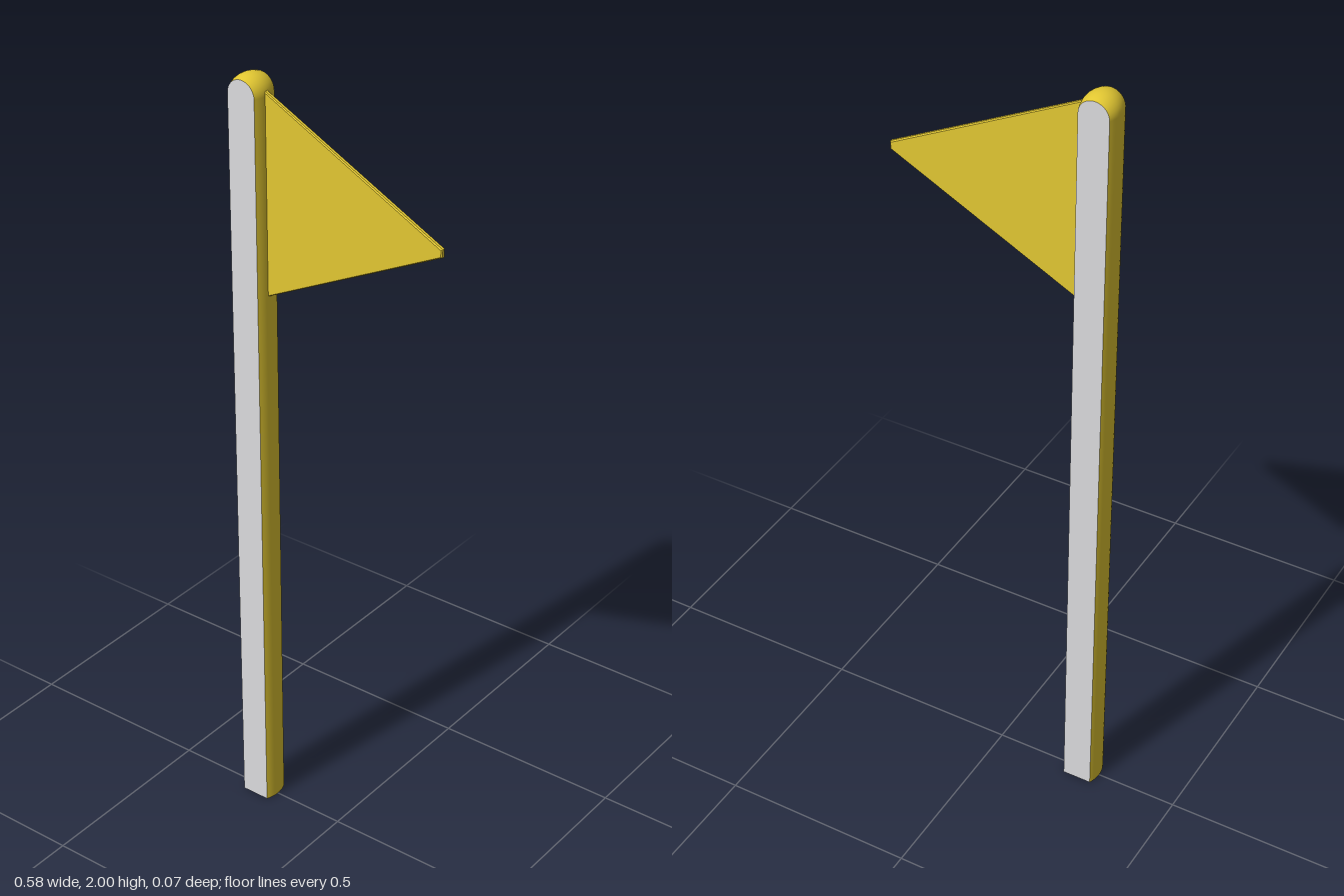
import * as THREE from 'three';

const POLE_X = -0.242, HALF_DEPTH = 0.036, SHOULDER = 1.954;
const EDGE_W = 0.038, MID_W = 0.046; // half-widths at the flat faces and at the middle
const ARC = 16;

const yellow = new THREE.MeshStandardMaterial({ color: 0xe3c832, side: THREE.DoubleSide });
yellow.name = 'yellow';
const grey = new THREE.MeshStandardMaterial({ color: 0xdcdcde, side: THREE.DoubleSide });
grey.name = 'light grey';

function add(group, name, geometry, material) {
  const mesh = new THREE.Mesh(geometry, material);
  mesh.name = name;
  group.add(mesh);
  return mesh;
}

// Bulging strip that runs up one side, over the round top and down the other
function poleBand() {
  const rows = ARC + 2, cols = 12;
  const geo = new THREE.PlaneGeometry(1, 1, cols, rows);
  const pos = geo.attributes.position;
  for (let i = 0; i < pos.count; i++) {
    const t = pos.getX(i) * 2;
    const row = Math.round((pos.getY(i) + 0.5) * rows);
    const w = EDGE_W + (MID_W - EDGE_W) * (1 - t * t);
    const a = Math.PI * (1 - THREE.MathUtils.clamp((row - 1) / ARC, 0, 1));
    const y = row === 0 || row === rows ? 0 : SHOULDER + w * Math.sin(a);
    pos.setXYZ(i, w * Math.cos(a), y, t * HALF_DEPTH);
  }
  geo.computeVertexNormals();
  return geo;
}

// Flat round-topped face of the pole
function poleFace() {
  const s = new THREE.Shape();
  s.moveTo(-EDGE_W, 0);
  s.lineTo(EDGE_W, 0);
  s.lineTo(EDGE_W, SHOULDER);
  s.absarc(0, SHOULDER, EDGE_W, 0, Math.PI, false);
  s.closePath();
  return new THREE.ShapeGeometry(s, ARC);
}

// Blunt-tipped pennant with a fine bevel
function pennant() {
  const s = new THREE.Shape([
    [-0.2, 1.457], [0.288, 1.7], [0.288, 1.72], [-0.2, 1.967],
  ].map(([x, y]) => new THREE.Vector2(x, y)));
  const geo = new THREE.ExtrudeGeometry(s, {
    depth: 0.007, bevelEnabled: true, bevelThickness: 0.003,
    bevelSize: 0.003, bevelOffset: -0.003, bevelSegments: 1,
  });
  return geo.translate(0, 0, -0.0035);
}

export function createModel() {
  const model = new THREE.Group();
  model.name = 'pennantOnPole';

  // Pole, open at the bottom
  const pole = new THREE.Group();
  pole.name = 'pole';
  pole.position.x = POLE_X;
  add(pole, 'poleSidesAndTop', poleBand(), yellow);
  add(pole, 'poleFrontFace', poleFace(), grey).position.z = HALF_DEPTH;
  const back = add(pole, 'poleBackFace', poleFace(), grey);
  back.position.z = -HALF_DEPTH;
  back.rotation.y = Math.PI;
  model.add(pole);

  // Flag
  add(model, 'flag', pennant(), yellow);
  return model;
}
